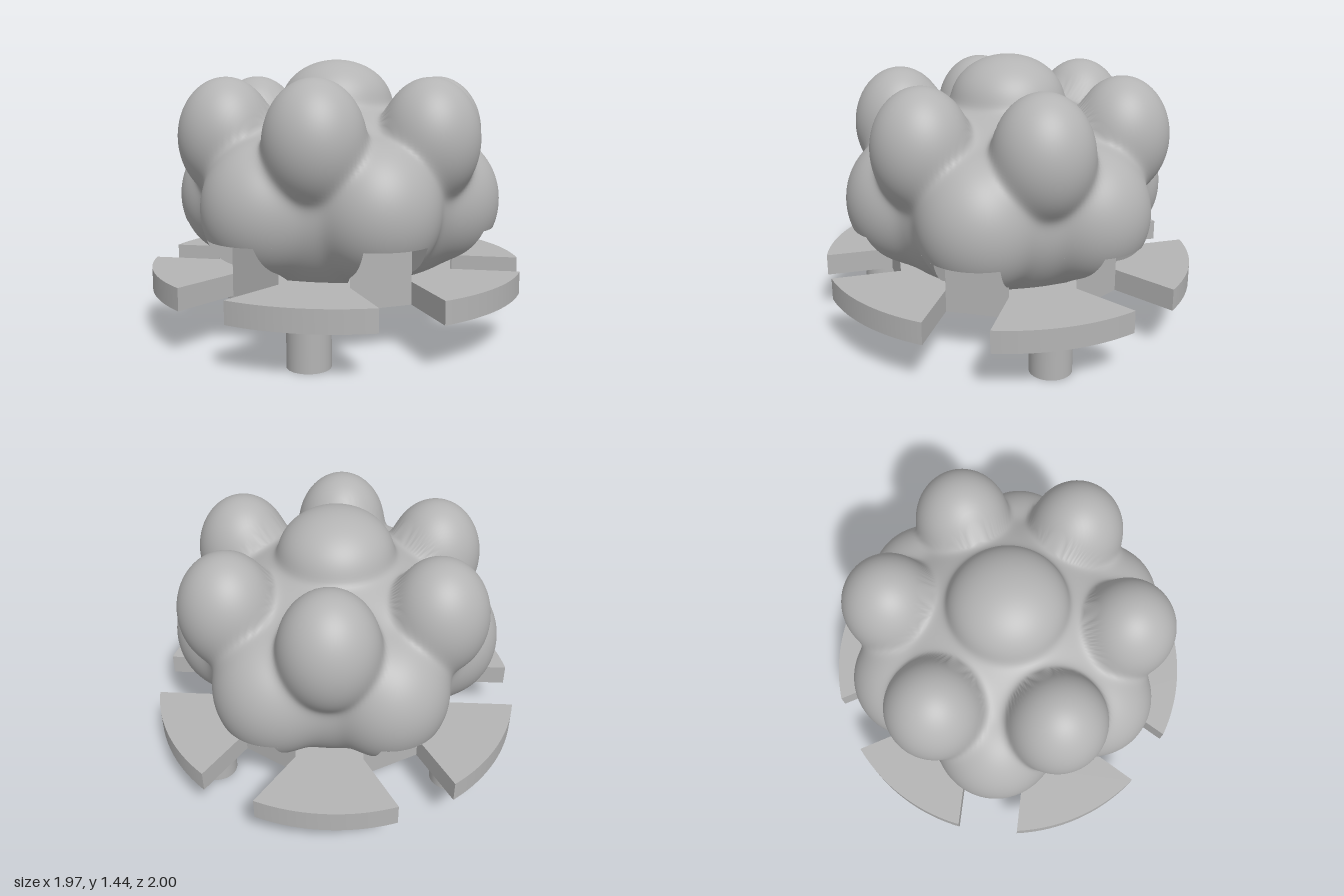
import * as THREE from 'three';
import { mergeGeometries, toCreasedNormals } from 'three/addons/utils/BufferGeometryUtils.js';

const SIXTH = Math.PI / 3;
const BASE_Y = 0.24, BASE_TOP = 0.355, SLOT_TOP = 0.56;
const SLOT_R = 0.63, SLOT_W = 0.162, HOLE_R = 0.47, HOLE_TOP = 0.95;

// Ellipsoids blended into one body: [x, y, z, horizontal radius, vertical radius]
const blobs = [
  [0, 0.7, 0, 0.72, 0.54], // core
  [0, 1.2, 0, 0.3, 0.24], // top dome
];
for (let k = 0; k < 6; k++) {
  const a = k * SIXTH, b = a + SIXTH / 2;
  blobs.push([0.56 * Math.cos(a), 0.7, 0.56 * Math.sin(a), 0.315, 0.35]); // side lobe
  blobs.push([0.606 * Math.cos(b), 1.04, 0.606 * Math.sin(b), 0.25, 0.31]); // upper ball
}

// Smoothly blended distance to the blobs
function field(x, y, z) {
  const soft = 0.022;
  let sum = 0;
  for (const [cx, cy, cz, r, h] of blobs) {
    const dx = (x - cx) / r, dy = (y - cy) / h, dz = (z - cz) / r;
    const k0 = Math.hypot(dx, dy, dz);
    const k1 = Math.hypot(dx / r, dy / h, dz / r) || 1;
    sum += Math.exp(-(k0 * (k0 - 1)) / k1 / soft);
  }
  return -soft * Math.log(sum + 1e-300);
}

// Distance along a ray, from o in direction d, to the outer skin
function hit(o, d) {
  let t = 1.4;
  for (let i = 0; i < 60; i++) {
    const f = field(o.x + d.x * t, o.y + d.y * t, o.z + d.z * t);
    t -= f * 0.75;
    if (Math.abs(f) < 1e-5) break;
  }
  return t;
}

const vec = (x, y, z) => new THREE.Vector3(x, y, z);
const dirAt = (a) => vec(Math.cos(a), 0, Math.sin(a));
const sideAt = (a) => vec(-Math.sin(a), 0, Math.cos(a));

// Grid surface from a rule; smooth skins take their normals from the field
function patch(nu, nv, rule, smooth) {
  const pos = [], index = [];
  for (let i = 0; i <= nu; i++) {
    for (let j = 0; j <= nv; j++) pos.push(...rule(i / nu, j / nv).toArray());
  }
  for (let i = 0; i < nu; i++) {
    for (let j = 0; j < nv; j++) {
      const a = i * (nv + 1) + j, b = a + nv + 1;
      index.push(a, b, b + 1, a, b + 1, a + 1);
    }
  }
  const g = new THREE.BufferGeometry();
  g.setAttribute('position', new THREE.Float32BufferAttribute(pos, 3));
  g.setIndex(index);
  g.computeVertexNormals();
  if (smooth) {
    const e = 0.002, n = g.attributes.normal;
    for (let i = 0; i < n.count; i++) {
      const [x, y, z] = pos.slice(i * 3, i * 3 + 3);
      const v = vec(
        field(x + e, y, z) - field(x - e, y, z),
        field(x, y + e, z) - field(x, y - e, z),
        field(x, y, z + e) - field(x, y, z - e)
      ).normalize();
      n.setXYZ(i, v.x, v.y, v.z);
    }
  }
  return g;
}

// Body above the slots, cast outward from its centre
function upperSkin() {
  const c = vec(0, SLOT_TOP, 0);
  return patch(90, 240, (u, v) => {
    const e = u * Math.PI / 2;
    const d = dirAt(v * Math.PI * 2).multiplyScalar(Math.cos(e)).setY(Math.sin(e));
    return d.clone().multiplyScalar(hit(c, d)).add(c);
  }, true);
}

const levelY = (u) => BASE_TOP + (SLOT_TOP - BASE_TOP) * u;

// Reach of the skin along a slot, at sideways offset s
const slotReach = (a, s, y) => Math.max(SLOT_R, hit(sideAt(a).multiplyScalar(s).setY(y), dirAt(a)));
const slotPoint = (a, r, s, y) => dirAt(a).multiplyScalar(r).addScaledVector(sideAt(a), s).setY(y);

// Body between two neighbouring slots
function lowerSkin(a) {
  return patch(16, 32, (u, v) => {
    const y = levelY(u);
    const gap = Math.atan2(SLOT_W, slotReach(a, SLOT_W, y));
    const d = dirAt(a + gap + v * (SIXTH - 2 * gap));
    return d.clone().multiplyScalar(hit(vec(0, y, 0), d)).setY(y);
  }, true);
}

// Back wall, two side walls and ceiling of a slot
function slotWalls(a) {
  const across = (v) => (2 * v - 1) * SLOT_W;
  const wall = (s) => patch(16, 1, (u, v) => {
    const y = levelY(u), w = s > 0 ? v : 1 - v;
    return slotPoint(a, SLOT_R + (slotReach(a, s, y) - SLOT_R) * w, s, y);
  });
  return [
    patch(1, 1, (u, v) => slotPoint(a, SLOT_R, across(v), BASE_Y + (SLOT_TOP - BASE_Y) * u)),
    wall(SLOT_W),
    wall(-SLOT_W),
    patch(1, 16, (u, v) => {
      const s = across(v);
      return slotPoint(a, SLOT_R + (slotReach(a, s, SLOT_TOP) - SLOT_R) * u, s, SLOT_TOP);
    }),
  ];
}

// Ring with six parallel-sided slots
function baseGeometry() {
  const shape = new THREE.Shape();
  const d = Math.asin(SLOT_W), out = Math.cos(d);
  for (let k = 0; k < 6; k++) {
    const a = k * SIXTH;
    [[out, -SLOT_W], [SLOT_R, -SLOT_W], [SLOT_R, SLOT_W], [out, SLOT_W]].forEach(([r, s], i) => {
      const p = slotPoint(a, r, s, 0);
      if (k === 0 && i === 0) shape.moveTo(p.x, p.z);
      else shape.lineTo(p.x, p.z);
    });
    shape.absarc(0, 0, 1, a + d, a + SIXTH - d, false);
  }
  const hole = new THREE.Path();
  hole.absarc(0, 0, HOLE_R, 0, Math.PI * 2, true);
  shape.holes.push(hole);
  const g = new THREE.ExtrudeGeometry(shape, {
    depth: BASE_TOP - BASE_Y, bevelEnabled: false, curveSegments: 32,
  });
  g.rotateX(-Math.PI / 2).translate(0, BASE_Y, 0);
  return toCreasedNormals(g, 0.5);
}

export function createModel() {
  const group = new THREE.Group();
  const grey = new THREE.MeshStandardMaterial({ color: 0xb4b4b4, side: THREE.DoubleSide });
  grey.name = 'grey';
  const add = (name, geometry) => {
    const mesh = new THREE.Mesh(geometry, grey);
    mesh.name = name;
    group.add(mesh);
    return mesh;
  };

  const skins = [upperSkin()], walls = [];
  for (let k = 0; k < 6; k++) {
    skins.push(lowerSkin(k * SIXTH));
    walls.push(...slotWalls(k * SIXTH));
  }
  add('lobedBody', mergeGeometries(skins));
  add('slotWalls', mergeGeometries(walls));
  add('slottedBase', baseGeometry());

  // Bore up into the body
  const depth = HOLE_TOP - BASE_TOP;
  add('boreWall', new THREE.CylinderGeometry(HOLE_R, HOLE_R, depth, 64, 1, true))
    .position.y = BASE_TOP + depth / 2;
  const cap = add('boreCeiling', new THREE.CircleGeometry(HOLE_R, 64));
  cap.rotation.x = Math.PI / 2;
  cap.position.y = HOLE_TOP;

  // Three legs
  for (let k = 0; k < 3; k++) {
    const a = Math.PI / 2 + k * 2 * SIXTH;
    add('leg', new THREE.CylinderGeometry(0.107, 0.107, BASE_Y, 40))
      .position.set(0.75 * Math.cos(a), BASE_Y / 2, 0.75 * Math.sin(a));
  }
  return group;
}
